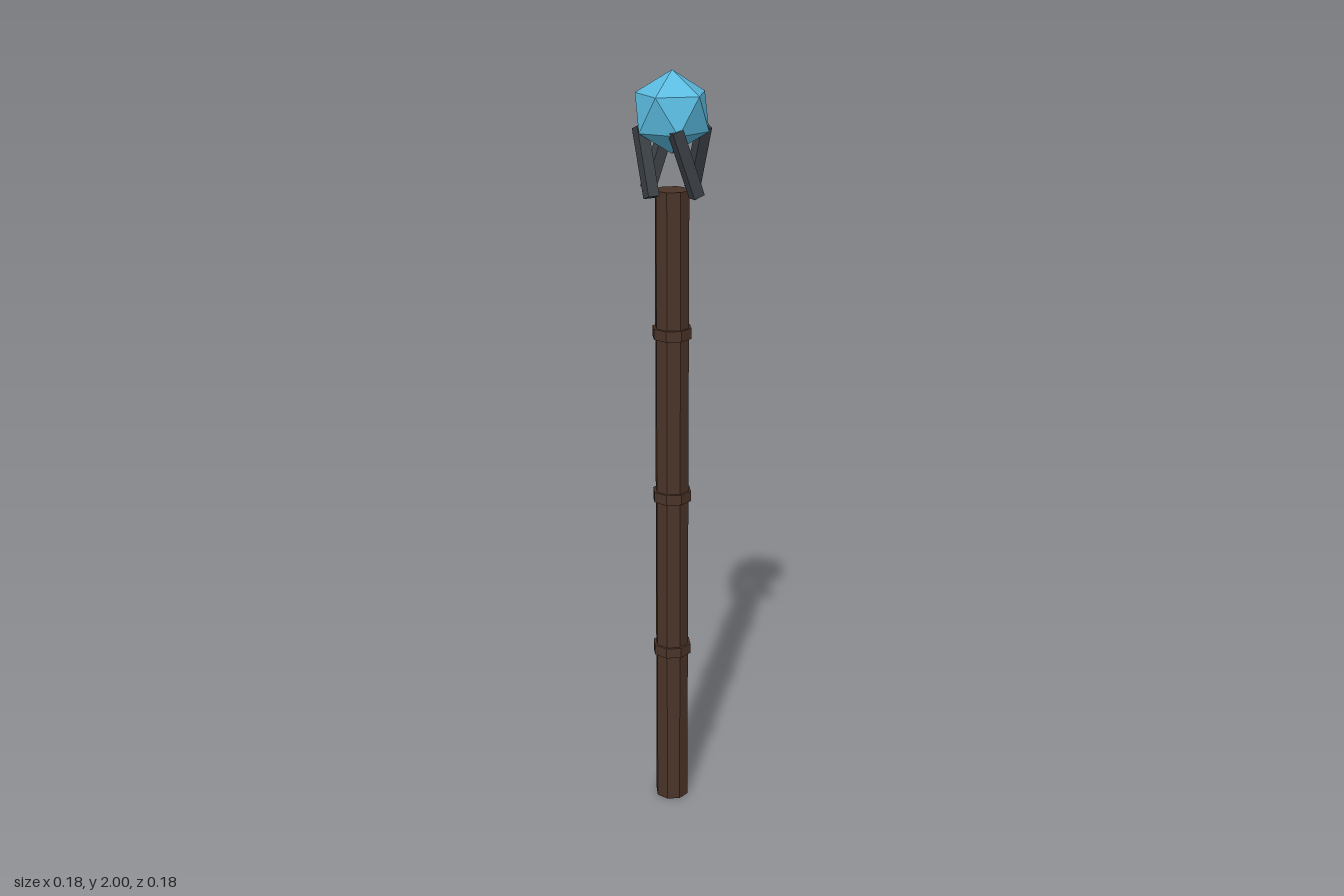
import * as THREE from 'three';

function material(name, color, flatShading = true) {
  const m = new THREE.MeshStandardMaterial({ color, flatShading });
  m.name = name;
  return m;
}

export function createModel() {
  const wood = material('dark wood', 0x4a3328);
  const iron = material('dark iron', 0x3d4248);
  const crystal = material('blue crystal', 0x5bbce0);

  const model = new THREE.Group();
  model.name = 'staff';
  const add = (name, geometry, mat, y, parent = model) => {
    const mesh = new THREE.Mesh(geometry, mat);
    mesh.name = name;
    mesh.position.y = y;
    parent.add(mesh);
    return mesh;
  };

  // Octagonal shaft
  add('shaft', new THREE.CylinderGeometry(0.045, 0.045, 1.705, 8), wood, 0.8525);

  // Three raised bands along the shaft
  [0.45, 0.893, 1.337].forEach((y, i) => {
    add(`band${i + 1}`, new THREE.CylinderGeometry(0.052, 0.052, 0.028, 8), wood, y);
  });

  // Four slanted prongs, turned around the shaft axis
  for (let i = 0; i < 4; i++) {
    const holder = new THREE.Group();
    holder.name = `prong${i + 1}`;
    holder.rotation.y = (i * Math.PI) / 2;
    const bar = add('prongBar', new THREE.BoxGeometry(0.03, 0.176, 0.03), iron, 1.78, holder);
    bar.position.z = 0.0735;
    bar.rotation.z = 0.35;
    model.add(holder);
  }

  // Twenty-sided crystal standing on a point, one upper corner towards +x
  const gem = new THREE.IcosahedronGeometry(0.103, 0);
  gem.rotateX(-Math.atan2((1 + Math.sqrt(5)) / 2, 1));
  gem.rotateY(Math.PI / 2);
  add('crystal', gem, crystal, 1.897);

  return model;
}
